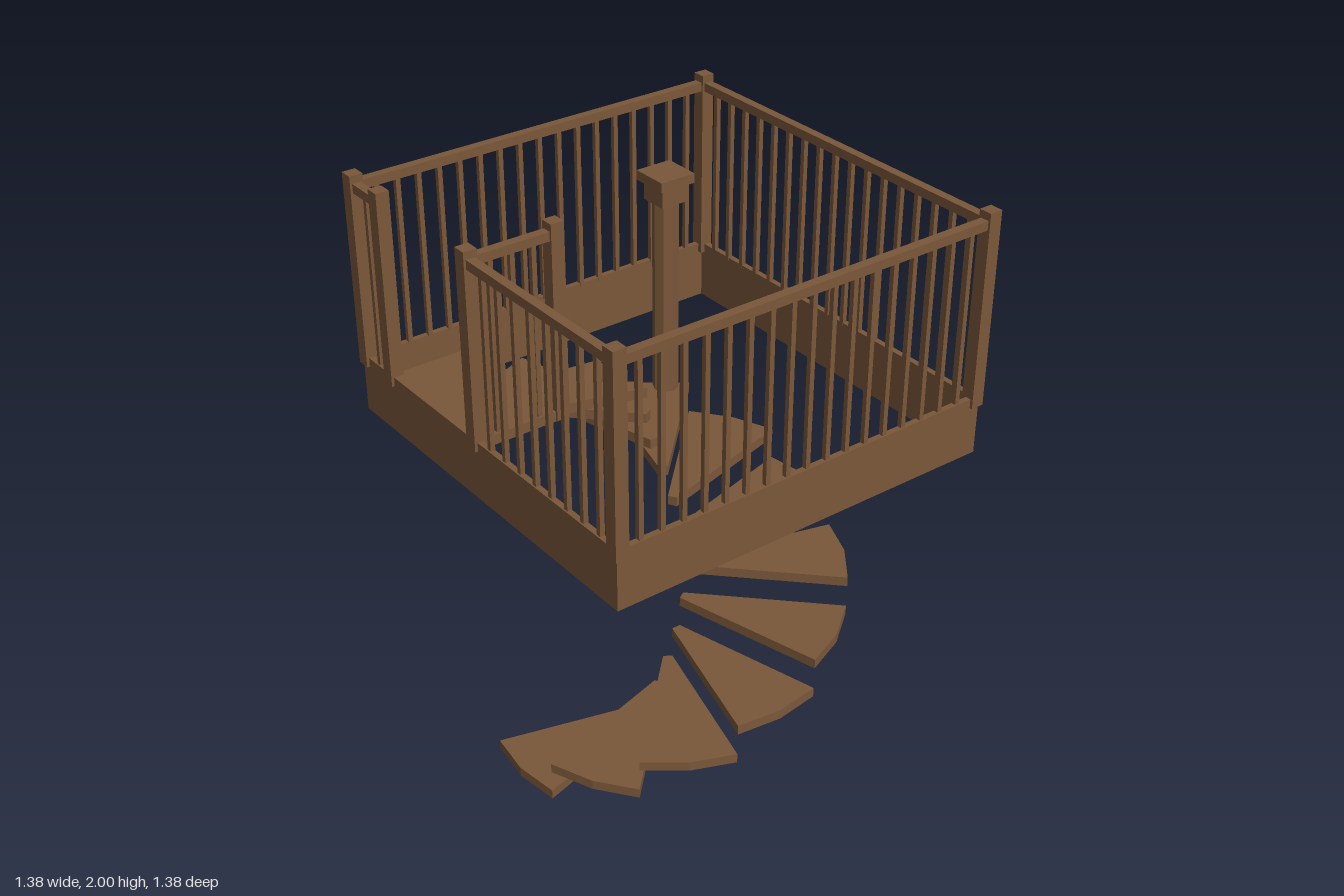
import * as THREE from 'three';

const wood = new THREE.MeshStandardMaterial({ color: 0x7b583a });
wood.name = 'brown wood';

const EDGE = 0.667;      // centre line of the railings
const FLOOR = 1.32;      // top of the frame and landing
const RAIL_Y = 1.9;

function box(parent, name, w, h, d, x, y, z) {
  const mesh = new THREE.Mesh(new THREE.BoxGeometry(w, h, d), wood);
  mesh.name = name;
  mesh.position.set(x, y, z);
  parent.add(mesh);
  return mesh;
}

// Handrail with evenly spaced balusters between two points [x, z]
function railing(name, [x0, z0], [x1, z1], gaps) {
  const group = new THREE.Group();
  group.name = name;
  const alongX = Math.abs(x1 - x0) > Math.abs(z1 - z0);
  const length = Math.hypot(x1 - x0, z1 - z0);
  box(group, 'handrail', alongX ? length : 0.03, 0.03, alongX ? 0.03 : length,
    (x0 + x1) / 2, RAIL_Y, (z0 + z1) / 2);
  for (let i = 1; i < gaps; i++) {
    const t = i / gaps;
    box(group, 'baluster', 0.016, RAIL_Y - FLOOR + 0.01, 0.016,
      x0 + (x1 - x0) * t, (RAIL_Y + FLOOR) / 2 - 0.005, z0 + (z1 - z0) * t);
  }
  return group;
}

// Wedge-shaped step covering 30 degrees, pointing to +z
function treadGeometry() {
  const at = (r, deg) => new THREE.Vector2(
    r * Math.sin(THREE.MathUtils.degToRad(deg)), -r * Math.cos(THREE.MathUtils.degToRad(deg)));
  const shape = new THREE.Shape([at(0.06, -15), at(0.6, -15), at(0.6, 0), at(0.6, 15), at(0.06, 15)]);
  return new THREE.ExtrudeGeometry(shape, { depth: 0.034, bevelEnabled: false }).rotateX(-Math.PI / 2);
}

export function createModel() {
  const model = new THREE.Group();
  model.name = 'spiralStair';

  // Spiral of treads, one full turn
  const stair = new THREE.Group();
  stair.name = 'treads';
  const tread = treadGeometry();
  for (let i = 0; i < 12; i++) {
    const step = new THREE.Mesh(tread, wood);
    step.name = 'tread';
    step.position.y = i * 0.1138;
    step.rotation.y = i * Math.PI / 6;
    stair.add(step);
  }
  model.add(stair);

  // Open square frame around the stairwell
  const frame = new THREE.Group();
  frame.name = 'frame';
  for (const s of [-1, 1]) {
    box(frame, 'frameBoard', 1.36, 0.2, 0.02, 0, 1.22, s * 0.67);
    box(frame, 'frameBoard', 0.02, 0.2, 1.32, s * 0.67, 1.22, 0);
  }
  model.add(frame);

  // Landing at the top of the stair
  box(model, 'landing', 0.49, 0.034, 0.304, -0.265, FLOOR - 0.017, 0.527);

  // Railing posts
  const inner = [-0.035, 0.375], gateRight = [-0.035, EDGE], gateLeft = [-0.513, EDGE];
  const corners = [[-EDGE, -EDGE], [EDGE, -EDGE], [EDGE, EDGE], [-EDGE, EDGE]];
  for (const [x, z] of [...corners, gateLeft, gateRight, inner]) {
    box(model, 'post', 0.045, 0.65, 0.045, x, 1.615, z);
  }

  // Railings
  model.add(
    railing('backRailing', corners[0], corners[1], 18),
    railing('leftRailing', corners[1], corners[2], 18),
    railing('rightRailing', corners[0], corners[3], 18),
    railing('frontLongRailing', gateRight, corners[2], 9),
    railing('frontShortRailing', corners[3], gateLeft, 2),
    railing('landingRailing', inner, gateRight, 4),
  );

  // Central newel with a stepped cap
  const newel = new THREE.Group();
  newel.name = 'newel';
  const shaft = new THREE.Mesh(new THREE.CylinderGeometry(0.04, 0.04, 0.67, 8), wood);
  shaft.name = 'newelShaft';
  shaft.geometry = shaft.geometry.toNonIndexed();
  shaft.geometry.computeVertexNormals();
  shaft.position.y = 1.615;
  newel.add(shaft);
  box(newel, 'newelNeck', 0.09, 0.06, 0.09, 0, 1.94, 0);
  box(newel, 'newelCap', 0.12, 0.03, 0.12, 0, 1.985, 0);
  model.add(newel);

  return model;
}
